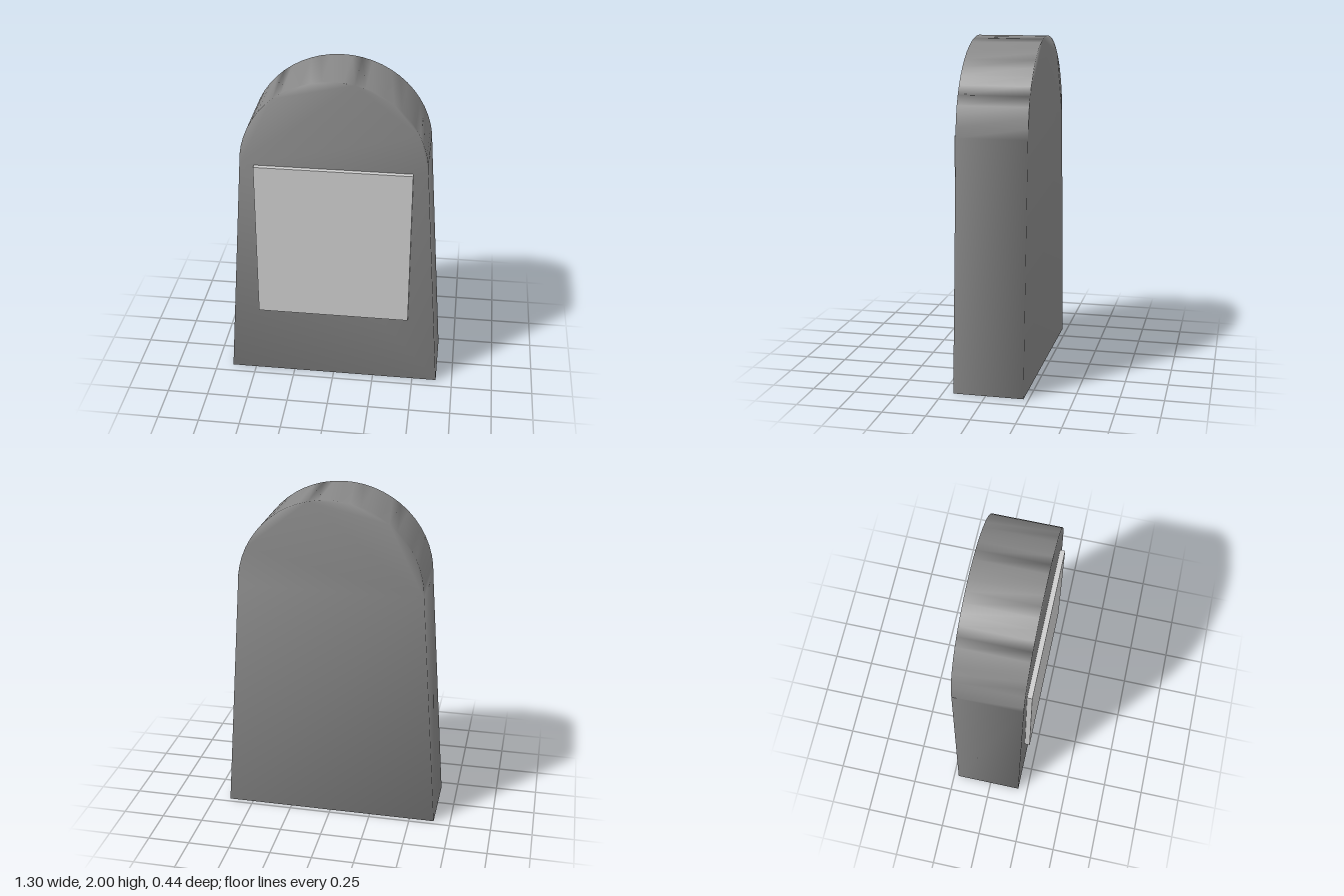
import * as THREE from 'three';
import { mergeVertices } from 'three/addons/utils/BufferGeometryUtils.js';

export function createModel() {
  const model = new THREE.Group();

  // Tapered slab with a round top
  const outline = new THREE.Shape();
  outline.moveTo(-0.65, 0);
  outline.lineTo(0.65, 0);
  outline.lineTo(0.545, 1.46);
  outline.absellipse(0, 1.46, 0.545, 0.54, 0, Math.PI, false);
  outline.closePath();

  // Shared corners give soft shading across the edges
  let slab = new THREE.ExtrudeGeometry(outline, { depth: 0.41, bevelEnabled: false, curveSegments: 14 });
  slab.translate(0, 0, -0.22);
  slab.deleteAttribute('normal');
  slab.deleteAttribute('uv');
  slab = mergeVertices(slab, 1e-4);
  slab.computeVertexNormals();
  const stone = new THREE.Mesh(slab, new THREE.MeshStandardMaterial({ color: 0x888888 }));
  stone.name = 'stoneSlab';
  model.add(stone);

  // Thin plaque standing proud of the front face
  const plaque = new THREE.Mesh(
    new THREE.BoxGeometry(0.92, 0.995, 0.05),
    new THREE.MeshStandardMaterial({ color: 0xcccccc })
  );
  plaque.position.set(0, 0.9625, 0.195);
  plaque.name = 'plaque';
  model.add(plaque);

  return model;
}
